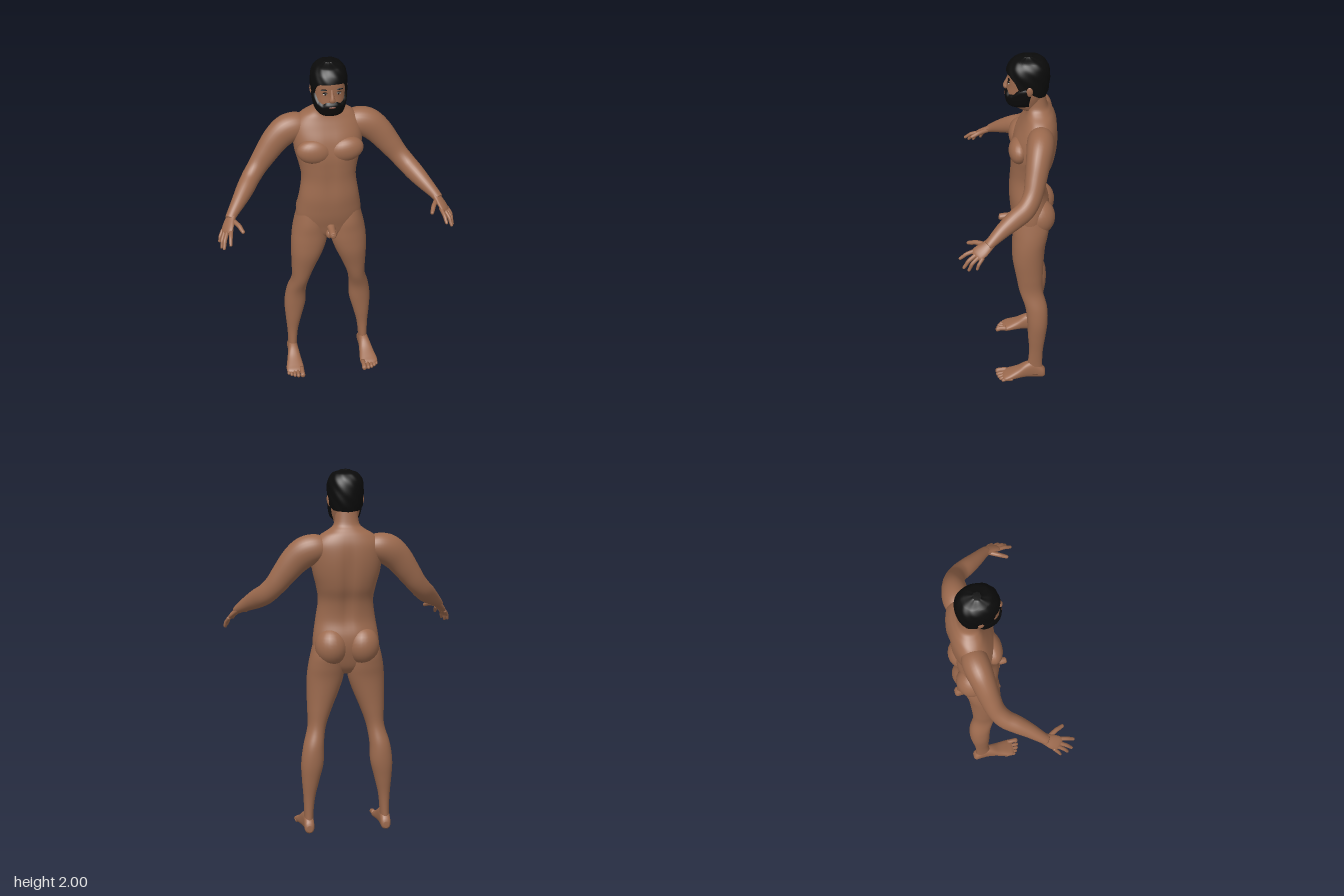
import * as THREE from 'three';

const mat = (name, color, side = THREE.FrontSide) => {
  const m = new THREE.MeshStandardMaterial({ color, side });
  m.name = name;
  return m;
};

// Smooth interpolation through the rows of a small table
function sample(table, t) {
  const f = t * (table.length - 1), i = Math.min(Math.floor(f), table.length - 2), k = f - i;
  const at = n => table[Math.max(0, Math.min(table.length - 1, n))];
  return table[i].map((p1, c) => {
    const p0 = at(i - 1)[c], p2 = at(i + 1)[c], p3 = at(i + 2)[c];
    return p1 + 0.5 * k * (p2 - p0 + k * (2 * p0 - 5 * p1 + 4 * p2 - p3 + k * (3 * (p1 - p2) + p3 - p0)));
  });
}

// Piecewise linear lookup in [x, y] pairs
function lookup(pairs, x) {
  for (let i = 1; i < pairs.length; i++) {
    const [a, ya] = pairs[i - 1], [b, yb] = pairs[i];
    if (x <= b) return ya + (yb - ya) * Math.max(0, (x - a) / (b - a));
  }
  return pairs[pairs.length - 1][1];
}

// Skin over a grid of points; rings may be closed and capped
function grid(rows, cols, fn, closed = true, capped = true) {
  const pos = [], idx = [], w = closed ? cols : cols + 1;
  for (let i = 0; i <= rows; i++)
    for (let j = 0; j < w; j++) pos.push(...fn(i / rows, j / cols));
  for (let i = 0; i < rows; i++)
    for (let j = 0; j < cols; j++) {
      const a = i * w + j, b = i * w + (j + 1) % w;
      idx.push(a, b, a + w, b, b + w, a + w);
    }
  if (closed && capped) for (const [r, flip] of [[0, true], [rows, false]]) {
    const c = [0, 0, 0], n = pos.length / 3;
    for (let j = 0; j < w; j++) for (let k = 0; k < 3; k++) c[k] += pos[(r * w + j) * 3 + k] / w;
    pos.push(...c);
    for (let j = 0; j < w; j++) {
      const a = r * w + j, b = r * w + (j + 1) % w;
      idx.push(...(flip ? [b, a, n] : [a, b, n]));
    }
  }
  const g = new THREE.BufferGeometry();
  g.setAttribute('position', new THREE.Float32BufferAttribute(pos, 3));
  g.setIndex(idx);
  g.computeVertexNormals();
  return g;
}

const spow = (v, e) => Math.sign(v) * Math.pow(Math.abs(v), 2 / e);

// Horizontal sections [y, x0, x1, zBack, zFront]
function upright(table, e = 2.2, rule = p => p) {
  return grid((table.length - 1) * 5, 48, (u, v) => {
    const [y, x0, x1, zb, zf] = sample(table, u), a = v * Math.PI * 2;
    return rule([(x0 + x1) / 2 + (x1 - x0) / 2 * spow(Math.cos(a), e), y,
      (zb + zf) / 2 - (zf - zb) / 2 * spow(Math.sin(a), e)]);
  });
}

// Oval tube through [x, y, z, radius along ref, other radius]
function limb(table, ref, cols = 14, steps = 5) {
  const T = new THREE.Vector3(), S = new THREE.Vector3(), N = new THREE.Vector3();
  return grid((table.length - 1) * steps, cols, (u, v) => {
    const [x, y, z, a, b] = sample(table, u);
    const p = sample(table, Math.max(0, u - 0.02)), q = sample(table, Math.min(1, u + 0.02));
    T.set(q[0] - p[0], q[1] - p[1], q[2] - p[2]).normalize();
    S.set(...ref).addScaledVector(T, -T.dot(S.set(...ref))).normalize();
    N.crossVectors(T, S);
    const c = Math.cos(v * Math.PI * 2) * a, s = Math.sin(v * Math.PI * 2) * b;
    return [x + S.x * c + N.x * s, y + S.y * c + N.y * s, z + S.z * c + N.z * s];
  });
}

const blob = (x, y, z, rx, ry, rz, rotZ = 0) =>
  new THREE.SphereGeometry(1, 24, 16).scale(rx, ry, rz).rotateZ(rotZ).translate(x, y, z);

function mirrored(g) {
  const m = g.clone().scale(-1, 1, 1), i = m.index.array;
  for (let k = 0; k < i.length; k += 3) [i[k], i[k + 1]] = [i[k + 1], i[k]];
  m.computeVertexNormals();
  return m;
}

// Head sections [y, halfWidth, zBack, zFront]
const HEAD = [[1.70, 0.05, -0.16, -0.06], [1.73, 0.064, -0.17, -0.005], [1.765, 0.075, -0.18, 0.008],
  [1.80, 0.081, -0.193, 0.01], [1.84, 0.084, -0.2, 0.006], [1.88, 0.086, -0.203, 0.006],
  [1.92, 0.085, -0.2, 0.002], [1.95, 0.076, -0.188, -0.012], [1.975, 0.054, -0.162, -0.04],
  [1.988, 0.012, -0.11, -0.09]];
const headAt = y => {
  let i = 0;
  while (i < HEAD.length - 2 && HEAD[i + 1][0] < y) i++;
  const k = Math.max(0, Math.min(1, (y - HEAD[i][0]) / (HEAD[i + 1][0] - HEAD[i][0])));
  return sample(HEAD, (i + k) / (HEAD.length - 1));
};
// Angle 0 faces the front; positive turns toward +x
const headPoint = (y, ang, out) => {
  const [, hw, zb, zf] = headAt(y);
  return [(hw + out) * spow(Math.sin(ang), 2.25), y,
    (zb + zf) / 2 + ((zf - zb) / 2 + out) * spow(Math.cos(ang), 2.25)];
};
const faceZ = (x, y) => {
  const [, hw, zb, zf] = headAt(y);
  return (zb + zf) / 2 + (zf - zb) / 2 * Math.pow(1 - Math.pow(Math.abs(x / hw), 2.25), 1 / 2.25);
};

export function createModel() {
  const model = new THREE.Group();
  const skin = mat('skin', 0x9c6a4e), hair = mat('black hair', 0x0b0b0b, THREE.DoubleSide);
  const white = mat('eye white', 0xc9c0b8), iris = mat('dark iris', 0x1c120d), lip = mat('lips', 0x7d4a3c);
  const add = (name, g, m = skin) => {
    const mesh = new THREE.Mesh(g, m);
    mesh.name = name;
    model.add(mesh);
  };
  const pair = (name, g, m = skin) => { add(name + 'Left', g, m); add(name + 'Right', mirrored(g), m); };

  // Torso and neck, with grooves along the spine and the chest
  const torso = [[0.90, 0.05, -0.16, -0.07], [0.94, 0.13, -0.19, -0.04], [1.0, 0.178, -0.21, -0.025],
    [1.06, 0.182, -0.222, -0.012], [1.12, 0.176, -0.22, -0.005], [1.2, 0.163, -0.202, 0],
    [1.3, 0.15, -0.212, -0.006], [1.38, 0.162, -0.24, -0.006], [1.46, 0.182, -0.255, -0.008],
    [1.54, 0.19, -0.26, -0.028], [1.61, 0.185, -0.254, -0.062], [1.66, 0.145, -0.238, -0.085],
    [1.69, 0.095, -0.22, -0.092], [1.72, 0.067, -0.202, -0.086], [1.79, 0.06, -0.19, -0.07]];
  add('torso', upright(torso.map(([y, w, b, f]) => [y, -w, w, b, f]), 2.25, ([x, y, z]) => {
    const mid = Math.exp(-((x / 0.03) ** 2)), span = Math.exp(-(((y - 1.38) / 0.2) ** 4));
    return [x, y, z + (z < -0.12 ? 0.016 : -0.006) * mid * span];
  }));
  pair('chest', blob(0.085, 1.485, -0.055, 0.098, 0.072, 0.056, 0.15));
  pair('buttock', blob(0.086, 1.055, -0.163, 0.09, 0.105, 0.091));

  // Groin
  add('groin', limb([[0, 1.0, -0.04, 0.026, 0.026], [0, 0.997, 0, 0.02, 0.02], [0, 0.993, 0.035, 0.019, 0.019],
    [0, 0.99, 0.05, 0.017, 0.017], [0, 0.99, 0.056, 0.007, 0.007]], [0, 1, 0]));
  pair('groinLower', blob(0.013, 0.967, -0.008, 0.019, 0.027, 0.022));

  // Legs
  pair('leg', upright([[0.03, 0.188, 0.243, -0.2, -0.1], [0.1, 0.188, 0.239, -0.194, -0.11],
    [0.2, 0.178, 0.242, -0.197, -0.117], [0.3, 0.155, 0.25, -0.21, -0.11], [0.4, 0.131, 0.254, -0.221, -0.104],
    [0.5, 0.128, 0.24, -0.216, -0.093], [0.6, 0.113, 0.213, -0.19, -0.06], [0.7, 0.078, 0.213, -0.19, -0.04],
    [0.8, 0.037, 0.215, -0.195, -0.021], [0.88, 0.012, 0.213, -0.202, -0.018], [0.95, 0.008, 0.205, -0.215, -0.02],
    [1.02, 0.02, 0.19, -0.22, -0.022], [1.12, 0.05, 0.165, -0.19, -0.04]], 2.1));

  // Feet: sections [z, x0, x1, y0, y1]
  const foot = [[-0.212, 0.2, 0.23, 0.015, 0.05], [-0.198, 0.188, 0.242, 0.004, 0.075],
    [-0.15, 0.186, 0.243, 0, 0.115], [-0.1, 0.183, 0.25, 0.004, 0.105], [-0.05, 0.177, 0.262, 0.003, 0.07],
    [0, 0.171, 0.273, 0, 0.044], [0.025, 0.174, 0.271, 0.001, 0.032], [0.04, 0.182, 0.25, 0.006, 0.022]];
  pair('foot', grid(35, 28, (u, v) => {
    const [z, x0, x1, y0, y1] = sample(foot, u), a = v * Math.PI * 2;
    return [(x0 + x1) / 2 + (x1 - x0) / 2 * spow(Math.cos(a), 2.4), (y0 + y1) / 2 + (y1 - y0) / 2 * spow(Math.sin(a), 2.4), z];
  }));
  [[0.186, 0.078, 0.0145], [0.211, 0.074, 0.0105], [0.231, 0.067, 0.01], [0.249, 0.056, 0.0095], [0.264, 0.042, 0.009]]
    .forEach(([x, z, r], i) => pair('toe' + (i + 1), limb([[x, r + 0.008, z - 0.065, r, r], [x, r + 0.006, z - 0.03, r, r * 0.9],
      [x, r, z - 0.01, r, r], [x, r, z - 0.003, r * 0.75, r * 0.75], [x, r, z, r * 0.25, r * 0.25]], [0, 1, 0], 12, 3)));

  // Arms
  pair('arm', limb([[0.12, 1.59, -0.165, 0.06, 0.06], [0.17, 1.59, -0.165, 0.077, 0.07], [0.225, 1.572, -0.16, 0.083, 0.07],
    [0.28, 1.525, -0.15, 0.077, 0.063], [0.335, 1.455, -0.137, 0.067, 0.056], [0.385, 1.388, -0.12, 0.058, 0.05],
    [0.43, 1.338, -0.085, 0.056, 0.049], [0.468, 1.305, -0.03, 0.053, 0.047], [0.51, 1.27, 0.03, 0.042, 0.039],
    [0.553, 1.233, 0.085, 0.028, 0.03], [0.568, 1.217, 0.108, 0.022, 0.028]], [0, 1, 0.001], 28));

  // Hands
  const across = [0.66, -0.33, -0.74];
  pair('palm', limb([[0.55, 1.235, 0.08, 0.026, 0.022], [0.567, 1.215, 0.108, 0.032, 0.018],
    [0.582, 1.195, 0.137, 0.039, 0.016], [0.592, 1.178, 0.162, 0.038, 0.013], [0.597, 1.168, 0.174, 0.028, 0.007]], across, 20));
  const digits = {
    thumb: [[0.56, 1.212, 0.112], [0.53, 1.208, 0.165], [0.508, 1.19, 0.216], 0.0125],
    indexFinger: [[0.57, 1.188, 0.165], [0.578, 1.173, 0.213], [0.584, 1.142, 0.256], 0.0105],
    middleFinger: [[0.588, 1.178, 0.162], [0.607, 1.152, 0.203], [0.619, 1.108, 0.235], 0.0105],
    ringFinger: [[0.602, 1.172, 0.15], [0.621, 1.143, 0.186], [0.63, 1.1, 0.208], 0.01],
    littleFinger: [[0.611, 1.17, 0.132], [0.629, 1.143, 0.153], [0.637, 1.112, 0.165], 0.009]
  };
  for (const [name, [a, b, c, r]] of Object.entries(digits)) {
    const mix = k => b.map((v, i) => v + (c[i] - v) * k);
    pair(name, limb([[...a, r * 1.1, r * 1.1], [...b, r, r], [...mix(0.55), r * 0.9, r * 0.9],
      [...mix(0.92), r * 0.72, r * 0.72], [...c, r * 0.25, r * 0.25]], across, 12, 4));
  }

  // Head, nose and ears
  add('head', upright(HEAD.map(([y, w, b, f]) => [y, -w, w, b, f]), 2.25));
  add('nose', limb([[0, 1.885, -0.004, 0.009, 0.009], [0, 1.86, 0.006, 0.009, 0.01], [0, 1.837, 0.014, 0.013, 0.013],
    [0, 1.824, 0.016, 0.017, 0.013], [0, 1.815, 0.01, 0.013, 0.008]], [1, 0, 0]));
  pair('ear', blob(0.088, 1.835, -0.107, 0.012, 0.031, 0.018, -0.15));

  // Eyes, eyebrows and mouth
  pair('eye', blob(0.034, 1.859, faceZ(0.034, 1.859), 0.014, 0.006, 0.004), white);
  pair('iris', blob(0.034, 1.859, faceZ(0.034, 1.859) + 0.002, 0.0062, 0.006, 0.0035), iris);
  pair('upperLid', blob(0.034, 1.866, faceZ(0.034, 1.866), 0.016, 0.0025, 0.005, -0.05), hair);
  pair('eyebrow', blob(0.037, 1.882, faceZ(0.037, 1.882), 0.022, 0.0045, 0.005, 0.1), hair);
  add('mouth', blob(0, 1.786, 0.018, 0.02, 0.006, 0.006), lip);

  // Short hair cap, rounded off at its lower edge
  const hairline = [[0, 1.917], [0.65, 1.912], [1.0, 1.885], [1.25, 1.835], [1.5, 1.85], [1.8, 1.815], [2.2, 1.79], [3.15, 1.782]];
  add('hair', grid(24, 72, (u, v) => {
    const ang = v * Math.PI * 2, d = Math.min(ang, Math.PI * 2 - ang);
    const low = lookup(hairline, d), t = Math.max(0, (u - 0.08) / 0.92);
    const y = low + (1.988 - low) * (1 - (1 - t) ** 2);
    const wave = 0.0012 * Math.sin(ang * 9 + y * 90);
    const p = headPoint(y, ang, u === 0 ? -0.003 : 0.0105 + wave);
    return [p[0], p[1] + 0.011 * t, p[2]];
  }), hair);

  // Full beard, thickest in the middle
  const beardTop = [[0, 1.814], [0.3, 1.814], [0.55, 1.8], [0.9, 1.81], [1.25, 1.855], [1.8, 1.862]];
  add('beard', grid(16, 48, (u, v) => {
    const ang = (v - 0.5) * 3.6, d = Math.abs(ang);
    const low = 1.708 + 0.012 * d, y = low + (lookup(beardTop, d) - low) * u;
    const edge = Math.min(1, u * 6, (1 - u) * 6, (1.8 - d) * 5);
    return headPoint(y, ang, -0.003 + 0.014 * edge);
  }, false), hair);

  return model;
}
